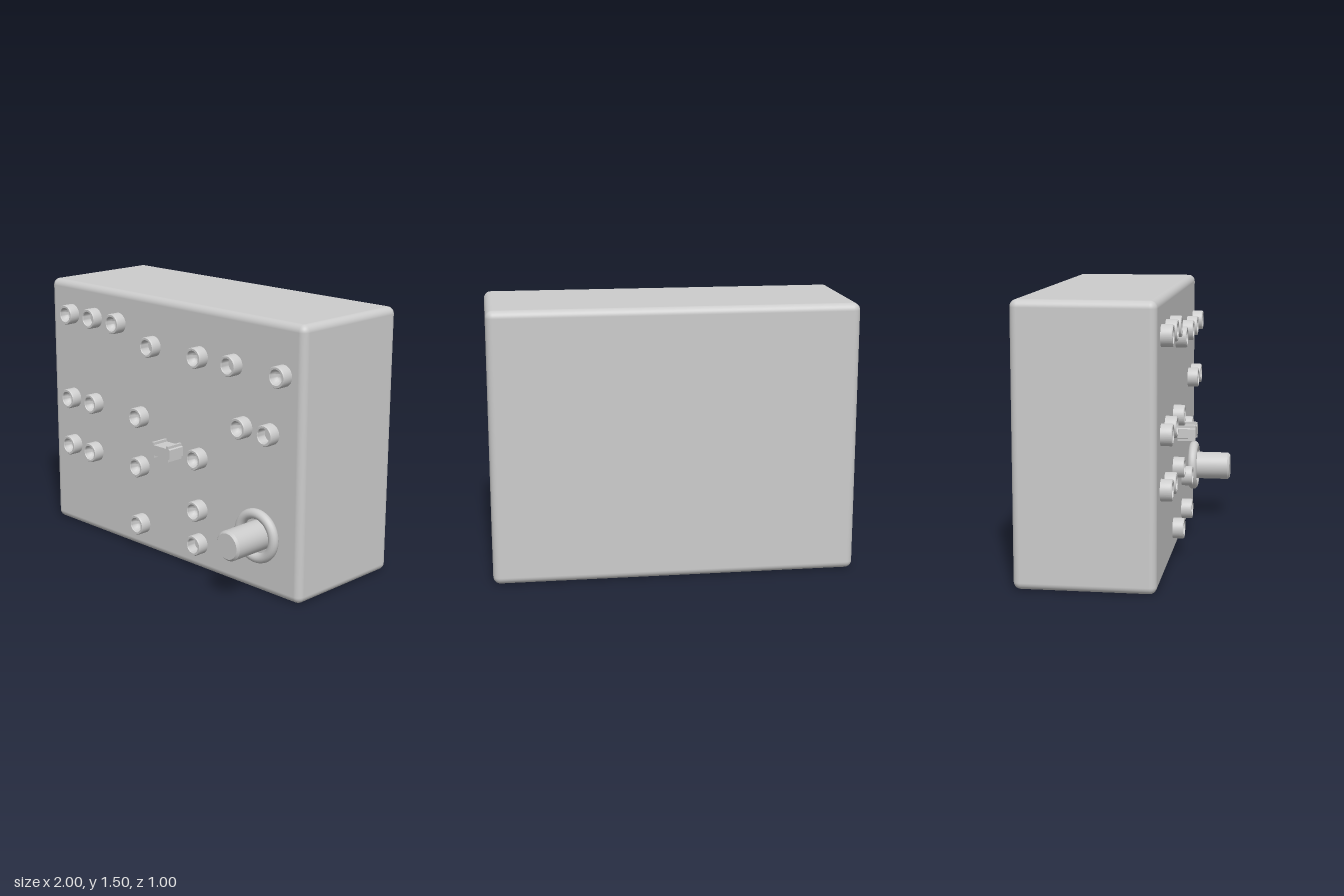
import * as THREE from 'three';
import { RoundedBoxGeometry } from 'three/addons/geometries/RoundedBoxGeometry.js';
import { toCreasedNormals } from 'three/addons/utils/BufferGeometryUtils.js';

const FRONT = 0.247; // z of the front panel
const grey = new THREE.MeshStandardMaterial({ color: 0xcccccc, side: THREE.DoubleSide });

// Lathe whose axis points out of the front panel; points are [radius, height]
function turned(points, segments) {
  const g = new THREE.LatheGeometry(points.map(([r, h]) => new THREE.Vector2(r, h)), segments);
  g.rotateX(Math.PI / 2);
  return toCreasedNormals(g, 0.6);
}

export function createModel() {
  const model = new THREE.Group();
  const add = (name, geometry, x, y, z) => {
    const mesh = new THREE.Mesh(geometry, grey);
    mesh.name = name;
    mesh.position.set(x, y, z);
    model.add(mesh);
    return mesh;
  };

  // Case with softened edges
  add('case', new RoundedBoxGeometry(2, 1.5, FRONT + 0.5, 5, 0.04), 0, 0.75, (FRONT - 0.5) / 2);

  // Sockets: a short collar, either with a rounded cup or a straight bore
  const collar = [[0.058, -0.005], [0.058, 0.056], [0.054, 0.062], [0.043, 0.062], [0.04, 0.058]];
  const cup = [];
  for (let i = 1; i <= 6; i++) {
    const a = (i / 6) * Math.PI / 2;
    cup.push([0.04 * Math.cos(a), 0.05 - 0.042 * Math.sin(a)]);
  }
  const cupped = turned([...collar, [0.04, 0.05], ...cup], 32);
  const bored = turned([...collar, [0.04, 0.004], [0, 0.004]], 32);

  const cuppedAt = [
    [-0.805, 1.31], [-0.395, 1.315], [0.265, 1.225], [0.865, 1.225], [0.595, 0.9],
    [-0.805, 0.8], [-0.6, 0.805], [-0.205, 0.8], [0.265, 0.655], [-0.805, 0.51],
    [-0.61, 0.505], [-0.205, 0.505], [0.265, 0.355], [-0.205, 0.155],
  ];
  const boredAt = [[-0.6, 1.315], [-0.105, 1.225], [0.52, 1.225], [0.785, 0.9], [0.265, 0.155]];
  cuppedAt.forEach(([x, y]) => add('cuppedSocket', cupped, x, y, FRONT));
  boredAt.forEach(([x, y]) => add('boredSocket', bored, x, y, FRONT));

  // Ribbed block: quarter outline mirrored into a full one, then extruded
  const quarter = [[0.078, 0.026], [0.066, 0.03], [0.066, 0.045], [0.05, 0.045], [0.05, 0.03]];
  const back = [...quarter].reverse();
  const outline = [
    ...quarter,
    ...back.map(([x, y]) => [-x, y]),
    ...quarter.map(([x, y]) => [-x, -y]),
    ...back.map(([x, y]) => [x, -y]),
  ].map(([x, y]) => new THREE.Vector2(x, y));
  const block = new THREE.ExtrudeGeometry(new THREE.Shape(outline), { depth: 0.103, bevelEnabled: false });
  add('ribbedBlock', block, 0.05, 0.663, FRONT);

  // Knob: rounded ring around a chamfered shaft
  add('knobRing', new THREE.TorusGeometry(0.123, 0.028, 16, 48), 0.715, 0.327, FRONT + 0.026);
  const shaft = turned([[0.083, -0.005], [0.083, 0.24], [0.071, 0.253], [0, 0.253]], 32);
  add('knobShaft', shaft, 0.715, 0.327, FRONT);

  return model;
}
